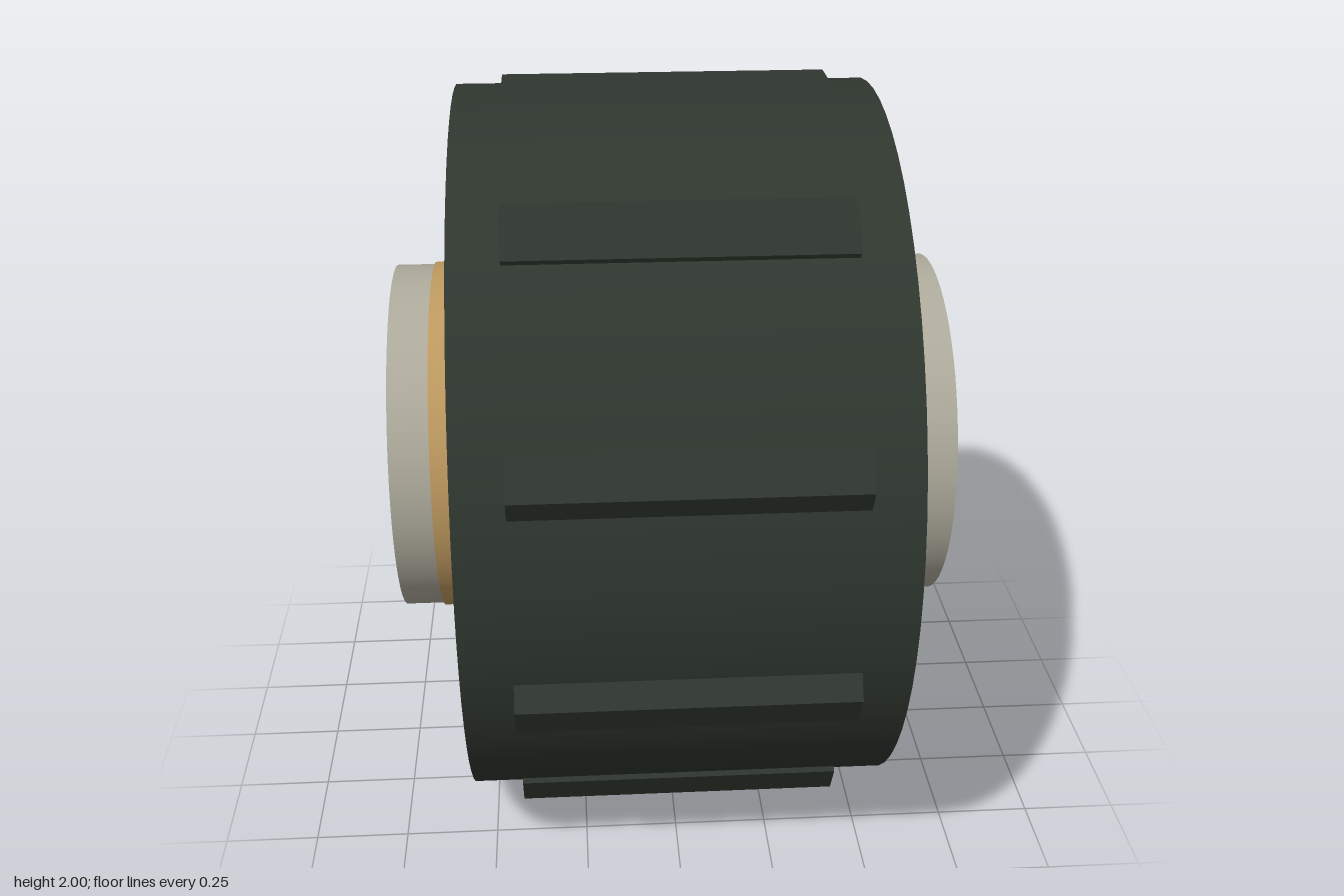
import * as THREE from 'three';

export function createModel() {
  const model = new THREE.Group();
  model.name = 'wheel';

  const rubber = new THREE.MeshStandardMaterial({ name: 'darkGreenRubber', color: 0x2f372f });
  const brass = new THREE.MeshStandardMaterial({ name: 'brass', color: 0xbf9a60 });
  const steel = new THREE.MeshStandardMaterial({ name: 'paleSteel', color: 0xaeab9c });

  // Cylinder lying along x, centred on the axle
  function disc(name, radius, halfWidth, sides, material) {
    const geometry = new THREE.CylinderGeometry(radius, radius, halfWidth * 2, sides);
    geometry.rotateZ(Math.PI / 2);
    const mesh = new THREE.Mesh(geometry, material);
    mesh.name = name;
    mesh.position.y = 1;
    model.add(mesh);
  }

  disc('tyre', 0.962, 0.545, 64, rubber);
  disc('hubCollar', 0.48, 0.625, 64, brass);
  disc('axle', 0.474, 0.73, 64, steel);

  // Ten hexagonal tread bars, all kept flat side up
  const bar = new THREE.CylinderGeometry(0.104, 0.104, 0.836, 6).toNonIndexed();
  bar.rotateZ(Math.PI / 2);
  bar.computeVertexNormals();
  const treads = new THREE.Group();
  treads.name = 'treads';
  for (let i = 0; i < 10; i++) {
    const a = (i / 10) * Math.PI * 2;
    const tread = new THREE.Mesh(bar, rubber);
    tread.name = 'treadBar';
    tread.position.set(0, 1 + Math.cos(a) * 0.91, Math.sin(a) * 0.91);
    treads.add(tread);
  }
  model.add(treads);

  return model;
}
